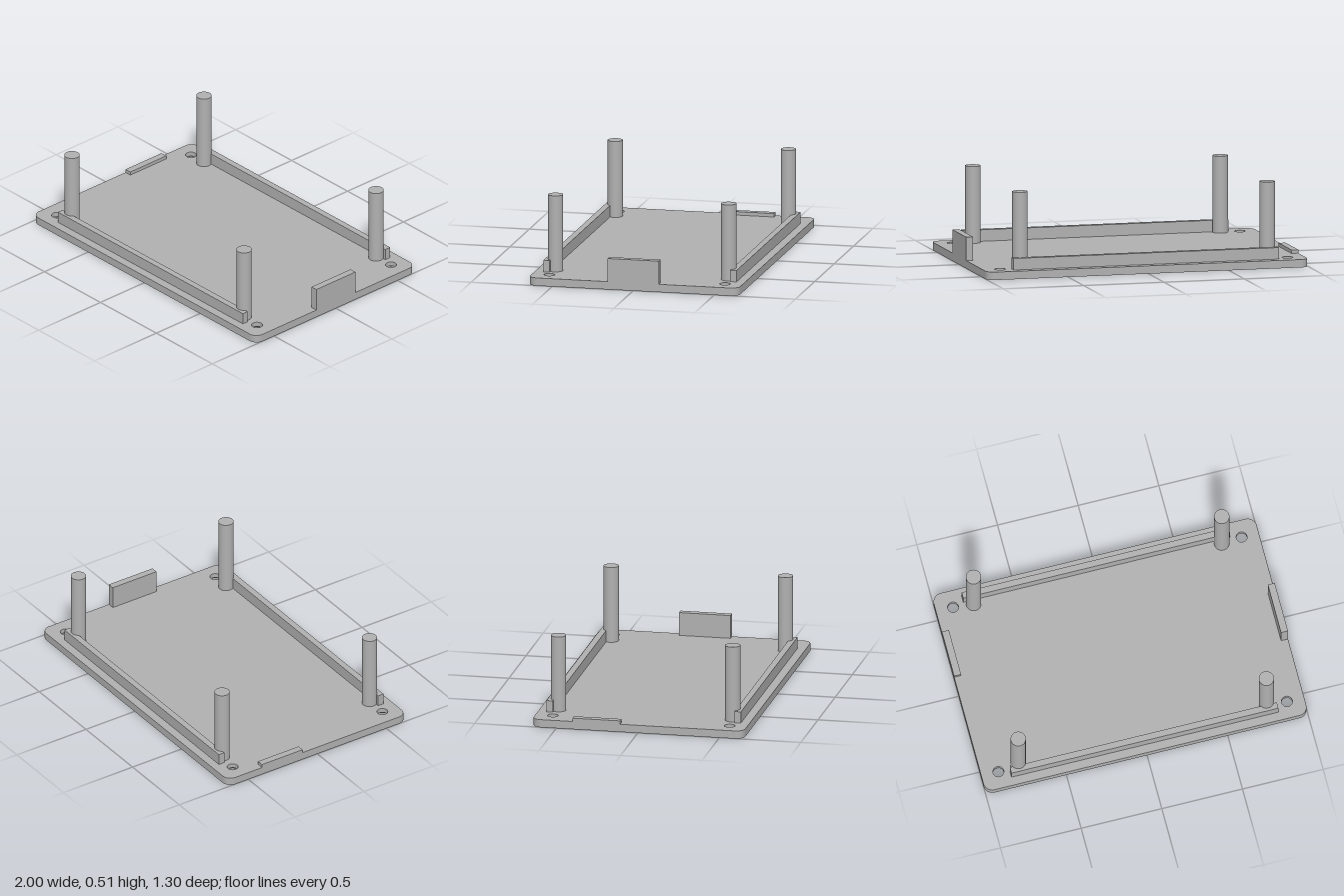
import * as THREE from 'three';
import { toCreasedNormals } from 'three/addons/utils/BufferGeometryUtils.js';

const W = 1, D = 0.648, CORNER = 0.055; // half width, half depth, corner radius
const THICK = 0.048, BORE = 0.02;       // plate thickness, counterbore depth

// Rounded rectangle with four corner holes, extruded upwards
function plateLayer(holeRadius, y0, y1) {
  const s = new THREE.Shape();
  s.absarc(W - CORNER, D - CORNER, CORNER, 0, Math.PI / 2);
  s.absarc(-W + CORNER, D - CORNER, CORNER, Math.PI / 2, Math.PI);
  s.absarc(-W + CORNER, -D + CORNER, CORNER, Math.PI, Math.PI * 1.5);
  s.absarc(W - CORNER, -D + CORNER, CORNER, Math.PI * 1.5, Math.PI * 2);
  s.closePath();
  for (const x of [-0.894, 0.894]) for (const z of [-0.542, 0.542]) {
    s.holes.push(new THREE.Path().absarc(x, z, holeRadius, 0, Math.PI * 2, true));
  }
  const g = new THREE.ExtrudeGeometry(s, { depth: y1 - y0, bevelEnabled: false, curveSegments: 16 });
  g.rotateX(-Math.PI / 2).translate(0, y0, 0);
  return toCreasedNormals(g, 0.6);
}

export function createModel() {
  const group = new THREE.Group();
  const grey = new THREE.MeshStandardMaterial({ color: 0xb0b0b0 });
  grey.name = 'grey';

  const add = (name, geometry) => {
    const mesh = new THREE.Mesh(geometry, grey);
    mesh.name = name;
    group.add(mesh);
  };
  // Box given by its limits, standing on the plate
  const block = (name, x0, x1, top, z0, z1) => add(name,
    new THREE.BoxGeometry(x1 - x0, top - THICK, z1 - z0)
      .translate((x0 + x1) / 2, (top + THICK) / 2, (z0 + z1) / 2));

  // Base plate: wide screw recesses below, narrow holes above
  add('basePlateLower', plateLayer(0.058, 0, BORE));
  add('basePlateUpper', plateLayer(0.033, BORE, THICK));

  // Posts at the corners
  for (const [sx, side] of [[1, 'Left'], [-1, 'Right']]) {
    for (const [sz, end] of [[1, 'front'], [-1, 'back']]) {
      add(`${end}${side}Post`, new THREE.CylinderGeometry(0.046, 0.046, 0.515 - THICK, 32)
        .translate(sx * 0.769, (0.515 + THICK) / 2, sz * 0.534));
    }
  }

  // Long rails inside the front and back edges
  block('frontRail', -0.827, 0.827, 0.118, 0.557, 0.596);
  block('backRail', -0.827, 0.827, 0.118, -0.596, -0.557);

  // End tabs: tall on the left, low on the right
  block('leftTab', 0.957, W, 0.19, -0.158, 0.158);
  block('rightTab', -W, -0.957, 0.069, -0.4, -0.108);

  return group;
}
